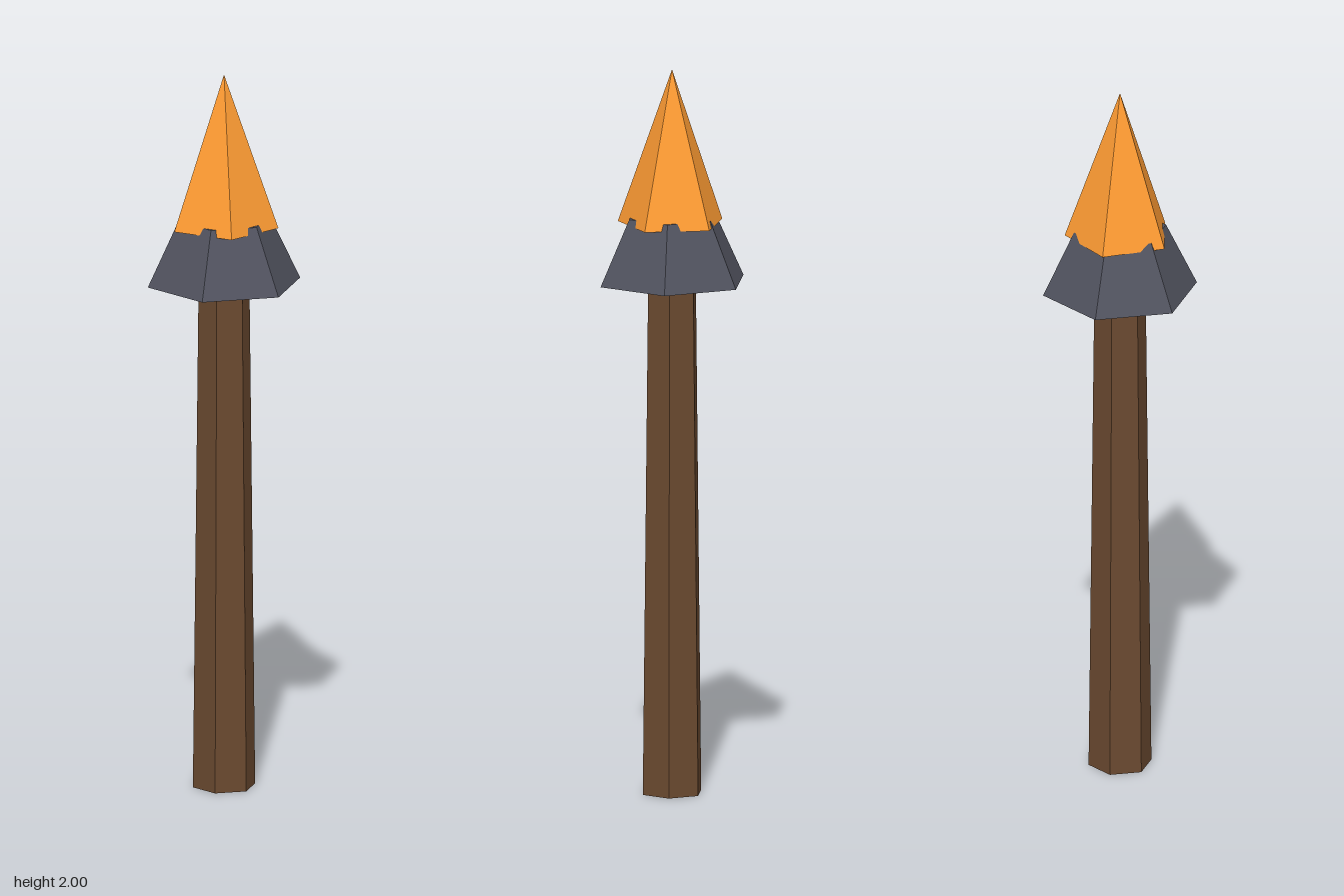
import * as THREE from 'three';

// Faceted, tapered prism standing on yBottom
function taperedPart(name, color, rTop, rBottom, yBottom, yTop, sides, turn = 0) {
  const height = yTop - yBottom;
  const geometry = new THREE.CylinderGeometry(rTop, rBottom, height, sides);
  const material = new THREE.MeshStandardMaterial({ color, flatShading: true });
  const mesh = new THREE.Mesh(geometry, material);
  mesh.name = name;
  mesh.position.y = yBottom + height / 2;
  mesh.rotation.y = turn;
  return mesh;
}

export function createModel() {
  const torch = new THREE.Group();
  torch.name = 'torch';

  // Six-sided wooden shaft, slightly thinner towards the top
  torch.add(taperedPart('handle', 0x6b4a30, 0.071, 0.087, 0, 1.42, 6));

  // Flared metal collar
  torch.add(taperedPart('collar', 0x51535f, 0.1275, 0.213, 1.415, 1.595, 6));

  // Five-sided flame with one corner towards the back
  torch.add(taperedPart('flame', 0xff9c33, 0, 0.15, 1.575, 2, 5, Math.PI));

  return torch;
}
